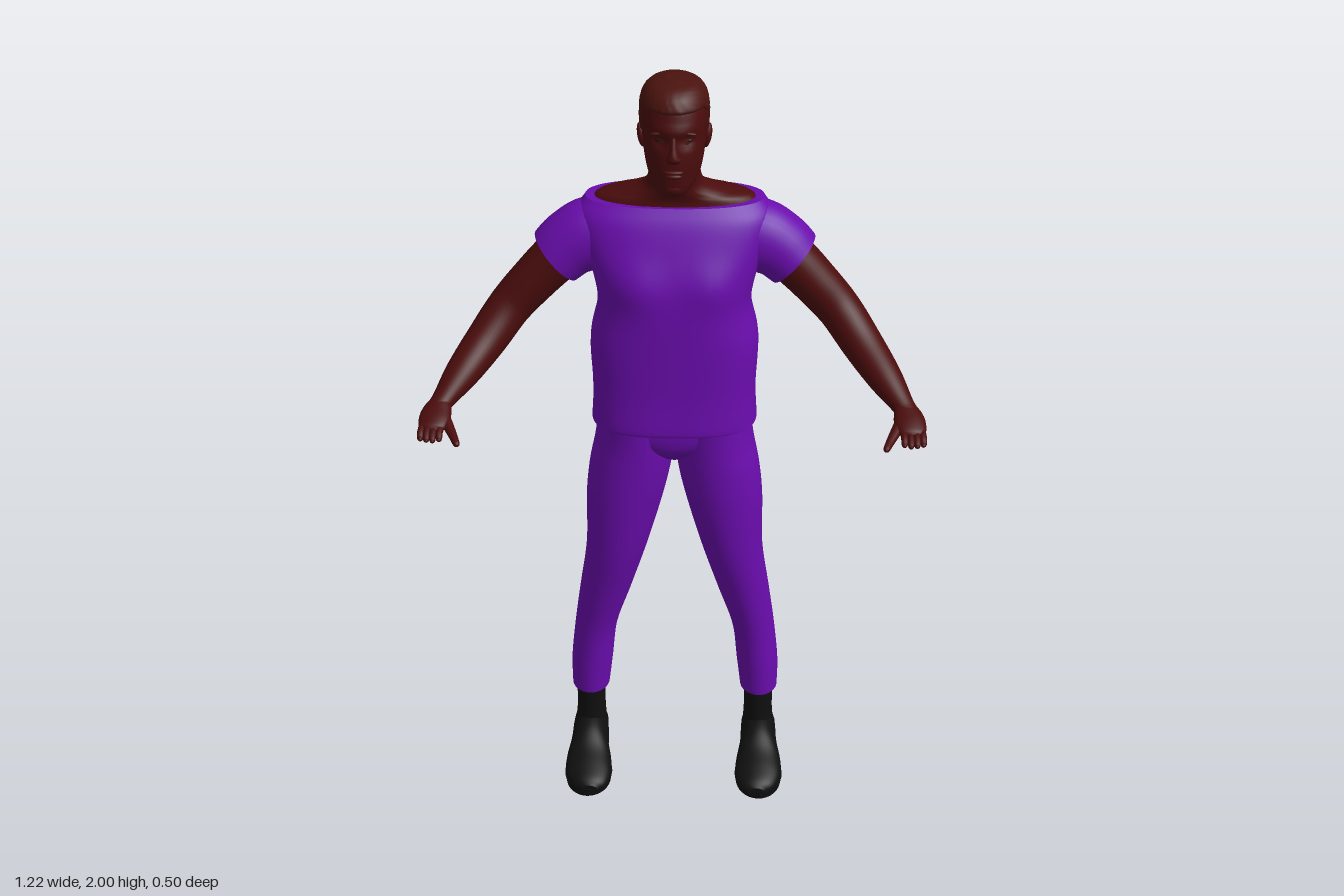
import * as THREE from 'three';

const mat = (name, color, double) => {
  const m = new THREE.MeshStandardMaterial({ color });
  m.name = name;
  if (double) m.side = THREE.DoubleSide;
  return m;
};

// Smooth skin through superelliptic rings. Row: [x, y, z, radiusU, radiusV, power].
// axis 'y': U = z, V = x. axis 'z': U = x, V = y. axis 'path': U is level, V is upright.
function loft(rows, axis = 'y', { seg = 32, steps = 5, deform } = {}) {
  const centre = new THREE.CatmullRomCurve3(rows.map(r => new THREE.Vector3(r[0], r[1], r[2])), false, 'catmullrom');
  const size = new THREE.CatmullRomCurve3(rows.map(r => new THREE.Vector3(r[3], r[4], r[5] ?? 2)), false, 'catmullrom');
  const n = (rows.length - 1) * steps, pos = [], idx = [];
  const X = new THREE.Vector3(1, 0, 0), Y = new THREE.Vector3(0, 1, 0), Z = new THREE.Vector3(0, 0, 1);
  const ring = (t) => {
    const c = centre.getPoint(t), s = size.getPoint(t);
    let u = axis === 'y' ? Z : X, v = axis === 'y' ? X : Y;
    if (axis === 'path') {
      const d = centre.getTangent(t);
      u = Y.clone().cross(d).normalize();
      v = d.clone().cross(u);
    }
    const pw = (k) => Math.sign(k) * Math.abs(k) ** (2 / s.z);
    for (let j = 0; j < seg; j++) {
      const a = j / seg * Math.PI * 2;
      const p = c.clone().addScaledVector(u, s.x * pw(Math.cos(a))).addScaledVector(v, s.y * pw(Math.sin(a)));
      if (deform) deform(p, c);
      pos.push(p.x, p.y, p.z);
    }
    return c;
  };
  for (let i = 0; i <= n; i++) ring(i / n);
  for (let i = 0; i < n; i++) for (let j = 0; j < seg; j++) {
    const a = i * seg + j, b = i * seg + (j + 1) % seg;
    idx.push(a, b, a + seg, b, b + seg, a + seg);
  }
  // end caps with their own vertices, so the rims stay sharp
  for (const end of [0, 1]) {
    const base = pos.length / 3, c = ring(end), mid = pos.length / 3;
    pos.push(c.x, c.y, c.z);
    for (let j = 0; j < seg; j++) {
      const a = base + j, b = base + (j + 1) % seg;
      end ? idx.push(mid, a, b) : idx.push(mid, b, a);
    }
  }
  const g = new THREE.BufferGeometry();
  g.setAttribute('position', new THREE.Float32BufferAttribute(pos, 3));
  g.setIndex(idx);
  g.computeVertexNormals();
  return g;
}

export function createModel() {
  const model = new THREE.Group();
  model.name = 'standingMan';
  const skin = mat('skin', 0x4a0c0c), hair = mat('hair', 0x4a130e);
  const cloth = mat('purpleCloth', 0x6a0dad, true), leather = mat('blackLeather', 0x0e0f0e);
  const add = (name, geo, material, parent = model) => {
    const m = new THREE.Mesh(geo, material);
    m.name = name;
    parent.add(m);
    return m;
  };
  const blob = (name, material, x, y, z, rx, ry, rz, parent) => {
    const m = add(name, new THREE.SphereGeometry(1, 16, 12), material, parent);
    m.position.set(x, y, z);
    m.scale.set(rx, ry, rz);
    return m;
  };
  const bump = (x, y, cx, cy, w, h) => Math.exp(-(((x - cx) / w) ** 2) - ((y - cy) / h) ** 2);

  // shirt body with soft chest and a spine groove
  add('shirt', loft([
    [0, 1.098, -.10, .143, .207, 2.8], [0, 1.115, -.10, .145, .205, 2.8], [0, 1.2, -.10, .139, .203, 2.8],
    [0, 1.32, -.10, .137, .207, 2.7], [0, 1.42, -.10, .134, .188, 2.6], [0, 1.5, -.105, .128, .2, 2.6],
    [0, 1.58, -.118, .114, .226, 2.6], [0, 1.64, -.13, .1, .236, 2.5], [0, 1.676, -.14, .084, .216, 2.3],
  ], 'y', {
    seg: 56,
    deform: (p, c) => {
      const ax = Math.abs(p.x);
      if (p.z > c.z) p.z += .012 * bump(ax, p.y, .09, 1.5, .06, .06);
      else p.z += .012 * bump(p.x, p.y, 0, 1.42, .03, .2) - .006 * bump(ax, p.y, .1, 1.55, .06, .08);
    },
  }), cloth);

  // bare shoulders and neck
  add('neckAndShoulders', loft([
    [0, 1.655, -.138, .076, .208, 2.2], [0, 1.684, -.138, .072, .185, 2.1], [0, 1.7, -.13, .068, .125],
    [0, 1.72, -.118, .064, .078], [0, 1.755, -.108, .062, .062], [0, 1.83, -.1, .06, .06],
  ]), skin);

  // head, with eye sockets pressed in
  const headRows = [
    [0, 1.735, -.02, .025, .022], [0, 1.75, -.03, .047, .042], [0, 1.78, -.05, .071, .06],
    [0, 1.82, -.066, .089, .07, 2.1], [0, 1.87, -.078, .097, .076, 2.1], [0, 1.92, -.086, .1, .079, 2.1],
    [0, 1.96, -.09, .089, .072], [0, 1.983, -.09, .062, .052], [0, 1.994, -.09, .02, .018],
  ];
  const head = new THREE.Group();
  head.name = 'head';
  model.add(head);
  add('face', loft(headRows, 'y', {
    seg: 48,
    deform: (p, c) => {
      if (p.z > c.z) p.z += .006 * bump(p.x, p.y, 0, 1.905, .06, .012) - .012 * bump(Math.abs(p.x), p.y, .033, 1.878, .017, .013);
    },
  }), skin, head);
  // cropped hair follows the head and sinks inside it below the hairline
  add('hair', loft(headRows.map(([x, y, z, a, b, n]) => [x, y + .006, z, a + .005, b + .004, n]), 'y', {
    seg: 64, steps: 6,
    deform: (p, c) => {
      const f = THREE.MathUtils.smoothstep(p.z, -.12, -.035);
      const line = 1.80 + .145 * f;
      const k = p.y < line ? .88 : 1 + .012 * Math.sin(p.y * 330 + p.x * 90) * Math.sin(p.x * 210 + p.z * 260);
      p.x *= k;
      p.z = c.z + (p.z - c.z) * k;
    },
  }), hair, head);
  add('nose', loft([
    [0, 1.828, .018, .006, .012], [0, 1.838, .022, .016, .019], [0, 1.85, .022, .017, .013],
    [0, 1.87, .018, .012, .008], [0, 1.892, .013, .006, .006],
  ], 'y', { seg: 16 }), skin, head);
  blob('upperLip', skin, 0, 1.806, .018, .024, .006, .011, head);
  blob('lowerLip', skin, 0, 1.795, .016, .021, .007, .011, head);
  blob('chin', skin, 0, 1.76, .004, .025, .018, .017, head);
  for (const s of [1, -1]) {
    blob('ear', skin, s * .078, 1.855, -.088, .01, .03, .017, head).rotation.set(-.15, 0, -s * .15);
    blob('brow', hair, s * .034, 1.899, .007, .02, .004, .006, head).rotation.z = -s * .1;
    blob('eye', leather, s * .033, 1.878, -.005, .011, .005, .007, head);
  }

  // hips under the shirt
  add('hips', loft([
    [0, .985, -.1, .06, .05], [0, 1.02, -.108, .098, .14], [0, 1.06, -.118, .118, .184, 2.3], [0, 1.12, -.122, .122, .19, 2.5],
  ], 'y', { seg: 40 }), cloth);

  for (const s of [1, -1]) {
    const side = s > 0 ? 'left' : 'right';
    const flip = (rows) => rows.map(([x, ...r]) => [s * x, ...r]);

    // trouser leg
    add(side + 'TrouserLeg', loft(flip([
      [.228, .215, -.14, .062, .05], [.223, .3, -.14, .067, .055], [.21, .42, -.138, .073, .056],
      [.182, .55, -.122, .08, .067], [.15, .7, -.102, .088, .079], [.128, .85, -.098, .097, .098],
      [.112, .95, -.1, .102, .104], [.1, 1.03, -.111, .114, .1], [.095, 1.11, -.12, .126, .096],
    ])), cloth);

    // shoe
    const shoe = new THREE.Group();
    shoe.name = side + 'Shoe';
    model.add(shoe);
    add('shaft', loft(flip([
      [.23, .07, -.13, .055, .045], [.228, .13, -.13, .05, .039], [.228, .19, -.131, .049, .038], [.228, .235, -.132, .05, .039],
    ])), leather, shoe);
    add('upper', loft(flip([
      [.23, .055, -.188, .025, .03], [.23, .062, -.172, .043, .046], [.23, .072, -.12, .047, .058],
      [.23, .068, -.055, .05, .053], [.23, .052, 0, .06, .04], [.229, .042, .05, .061, .032],
      [.226, .034, .09, .046, .024], [.224, .03, .108, .022, .014],
    ]), 'z'), leather, shoe);
    add('sole', loft(flip([[.23, .006, .025, .08, .06], [.23, .03, .026, .084, .064]]), 'y', { steps: 1 }), leather, shoe);
    add('shank', loft(flip([[.23, .014, -.07, .07, .042], [.23, .034, -.07, .07, .046]]), 'y', { steps: 1 }), leather, shoe);
    add('heel', loft(flip([[.23, 0, -.14, .05, .047, 2.4], [.23, .036, -.14, .052, .047, 2.4]]), 'y', { steps: 1 }), leather, shoe);

    // short flared sleeve
    add(side + 'Sleeve', loft(flip([
      [.13, 1.582, -.132, .082, .09], [.2, 1.573, -.132, .083, .093], [.25, 1.55, -.131, .082, .084],
      [.29, 1.515, -.128, .081, .077],
    ]), 'path'), cloth);

    // arm, bent forward at the elbow
    add(side + 'Arm', loft(flip([
      [.22, 1.57, -.13, .065, .065], [.285, 1.515, -.125, .063, .062], [.345, 1.455, -.115, .058, .058],
      [.405, 1.39, -.098, .054, .054], [.46, 1.325, -.045, .051, .05], [.515, 1.273, .035, .043, .04],
      [.556, 1.236, .1, .029, .025], [.57, 1.225, .125, .028, .021],
    ]), 'path'), skin);

    // hand with four fingers and a thumb
    const hand = new THREE.Group();
    hand.name = side + 'Hand';
    model.add(hand);
    add('palm', loft(flip([
      [.56, 1.233, .105, .026, .02], [.568, 1.224, .135, .036, .02], [.572, 1.217, .165, .038, .018],
      [.576, 1.21, .19, .032, .014], [.577, 1.207, .2, .018, .008],
    ]), 'path'), skin, hand);
    for (let i = 0; i < 4; i++) {
      const x = .553 + i * .015, tip = .236 - Math.abs(i - 1.3) * .006;
      add('finger', loft(flip([
        [x, 1.212, .17, .009, .01], [x + .003, 1.206, .205, .0085, .009], [x + .003, 1.197, tip - .007, .0075, .008], [x + .003, 1.195, tip, .003, .003],
      ]), 'path', { seg: 12 }), skin, hand);
    }
    add('thumb', loft(flip([
      [.553, 1.218, .145, .016, .014], [.535, 1.208, .185, .013, .012], [.52, 1.2, .22, .01, .01],
      [.512, 1.196, .242, .008, .008], [.51, 1.195, .249, .003, .003],
    ]), 'path', { seg: 14 }), skin, hand);
  }
  return model;
}
